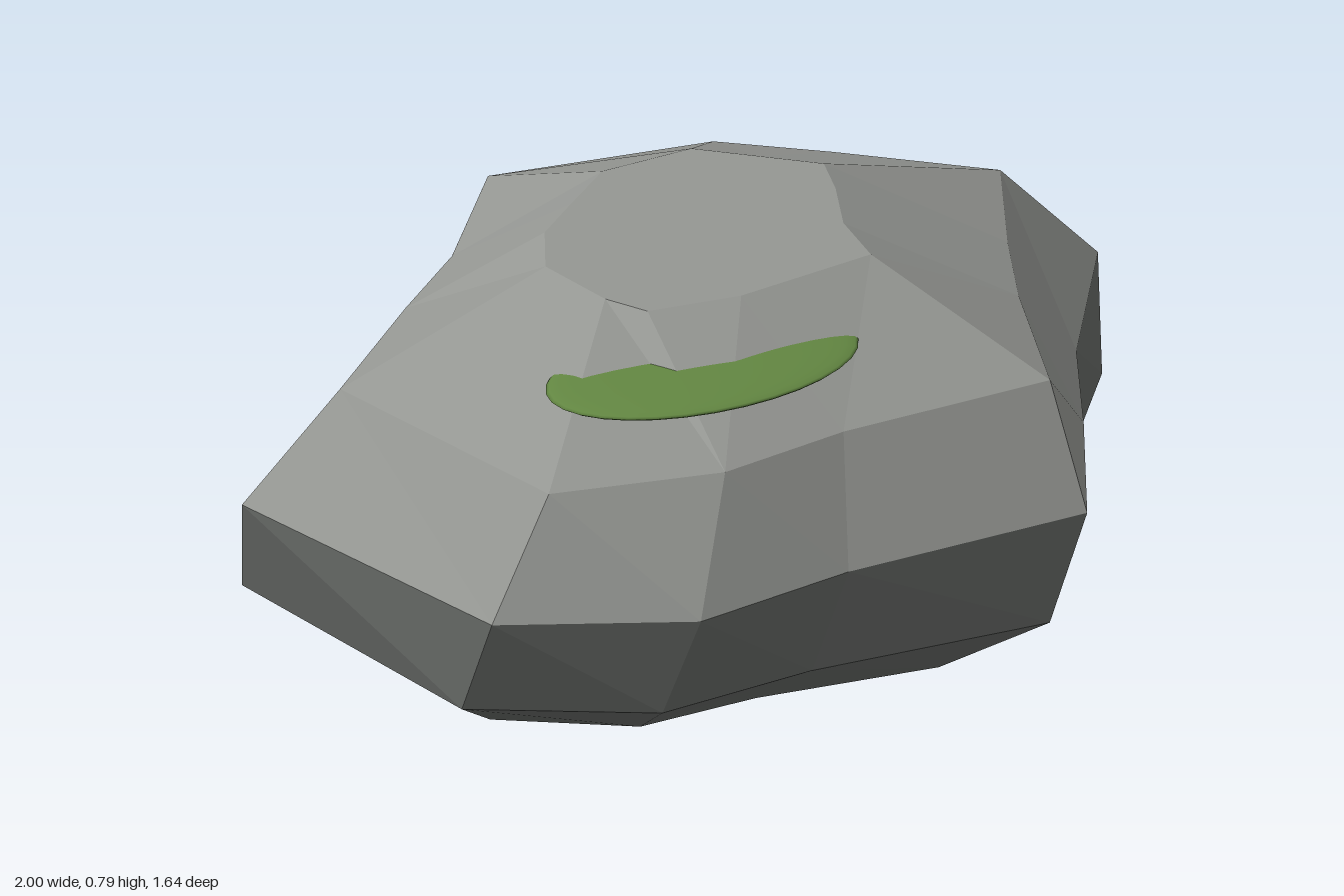
import * as THREE from 'three';

// Plan outlines [x, z] of the boulder, starting at the back and going round by the left side
const GIRTH = [[0, -0.82], [0.49, -0.57], [0.71, -0.38], [1, -0.08], [0.73, 0.24], [0.57, 0.5], [0.36, 0.82],
  [-0.17, 0.76], [-0.53, 0.77], [-0.88, 0.55], [-1, -0.15], [-0.62, -0.39], [-0.33, -0.53]];
const SHOULDER = [[-0.07, -0.65], [0.38, -0.52], [0.55, -0.35], [0.78, -0.1], [0.62, 0.16], [0.51, 0.36], [0.36, 0.69],
  [-0.1, 0.64], [-0.39, 0.65], [-0.73, 0.53], [-0.82, -0.07], [-0.52, -0.28], [-0.32, -0.41]];
const CROWN = [[-0.07, -0.25], [0.13, -0.23], [0.22, -0.13], [0.31, -0.03], [0.27, 0.07], [0.2, 0.2], [0.17, 0.34],
  [-0.14, 0.34], [-0.33, 0.29], [-0.37, 0.2], [-0.39, 0.02], [-0.31, -0.1], [-0.2, -0.17]];

// Shrinks, twists and shifts an outline
function twisted(ring, scale, degrees, dx, dz) {
  const c = scale * Math.cos(THREE.MathUtils.degToRad(degrees));
  const s = scale * Math.sin(THREE.MathUtils.degToRad(degrees));
  return ring.map(([x, z]) => [x * c - z * s + dx, x * s + z * c + dz]);
}

// Flat-faceted band through stacked rings, with a flat cap at the top or the bottom
function facetedBand(name, color, levels, capTop) {
  const rings = levels.map(([y, ring]) => ring.map(([x, z]) => new THREE.Vector3(x, y, z)));
  const count = rings[0].length;
  const cap = rings[capTop ? rings.length - 1 : 0];
  const capCentre = cap.reduce((sum, p) => sum.add(p), new THREE.Vector3()).divideScalar(count);
  const corners = [];
  for (let i = 0; i < count; i++) {
    const n = (i + 1) % count;
    for (let r = 0; r < rings.length - 1; r++) {
      const lo = rings[r], up = rings[r + 1];
      // Split each facet along its shorter diagonal
      if (lo[n].distanceTo(up[i]) < lo[i].distanceTo(up[n])) corners.push(lo[n], lo[i], up[i], lo[n], up[i], up[n]);
      else corners.push(lo[n], lo[i], up[n], lo[i], up[i], up[n]);
    }
    if (capTop) corners.push(capCentre, cap[n], cap[i]);
    else corners.push(capCentre, cap[i], cap[n]);
  }
  const geometry = new THREE.BufferGeometry().setFromPoints(corners);
  geometry.computeVertexNormals();
  const mesh = new THREE.Mesh(geometry, new THREE.MeshStandardMaterial({ color, flatShading: true }));
  mesh.name = name;
  return mesh;
}

export function createModel() {
  const group = new THREE.Group();
  group.name = 'mossyBoulder';

  // Darker base: tapered foot and near-upright sides
  group.add(facetedBand('boulderBase', 0x686b68, [
    [0, twisted(GIRTH, 0.72, 8, -0.04, 0.01)],
    [0.13, twisted(GIRTH, 0.96, 4.5, 0, -0.01)],
    [0.36, GIRTH],
  ], false));

  // Lighter top: sloping shoulders and a flat crown
  group.add(facetedBand('boulderTop', 0x959793, [
    [0.36, GIRTH],
    [0.6, SHOULDER],
    [0.785, CROWN],
  ], true));

  // Moss: thin flattened pad half sunk into the front slope
  const moss = new THREE.Mesh(
    new THREE.SphereGeometry(1, 32, 16),
    new THREE.MeshStandardMaterial({ color: 0x638742 })
  );
  moss.name = 'mossPatch';
  moss.scale.set(0.335, 0.02, 0.19);
  moss.position.set(-0.278, 0.697, 0.405);
  moss.rotation.y = -0.12;
  group.add(moss);

  return group;
}
